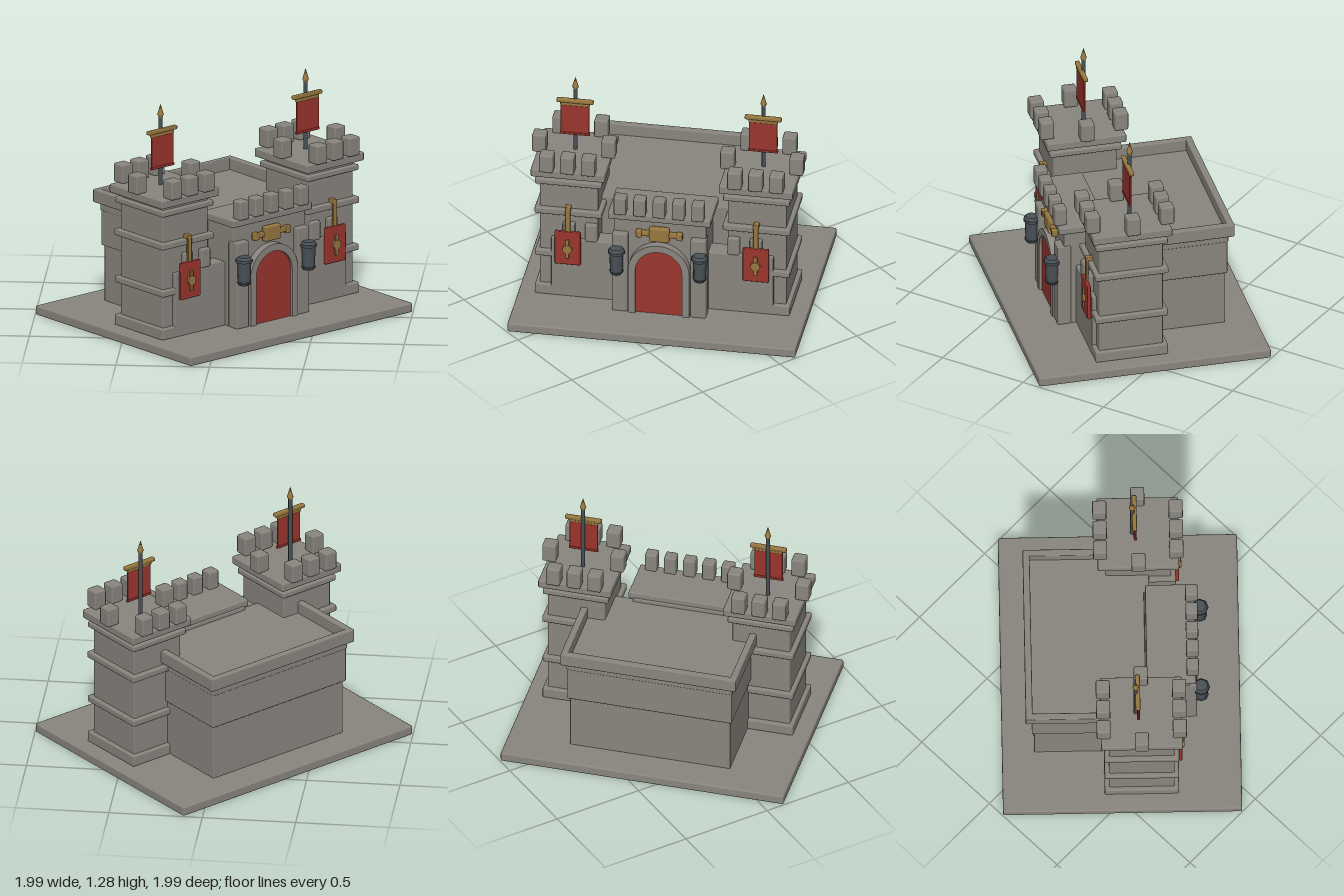
import * as THREE from 'three';
import { RoundedBoxGeometry } from 'three/addons/geometries/RoundedBoxGeometry.js';

const makeMat = (name, color) => {
  const m = new THREE.MeshStandardMaterial({ color });
  m.name = name;
  return m;
};

export function createModel() {
  const stone = makeMat('stone', 0x8a867f);
  const red = makeMat('red', 0x9c352e);
  const gold = makeMat('gold', 0x98783f);
  const iron = makeMat('iron', 0x4a5256);

  const root = new THREE.Group();
  root.name = 'castle';
  const castle = new THREE.Group();
  castle.name = 'castleBody';
  castle.rotation.y = Math.PI / 4; // the gate looks along the diagonal
  root.add(castle);

  const add = (parent, name, geo, mat, x = 0, y = 0, z = 0) => {
    const mesh = new THREE.Mesh(geo, mat);
    mesh.name = name;
    mesh.position.set(x, y, z);
    parent.add(mesh);
    return mesh;
  };
  // Bevelled block given by its extents
  const block = (parent, name, mat, x0, x1, y0, y1, z0, z1, r = 0.006) => {
    const w = x1 - x0, h = y1 - y0, d = z1 - z0;
    const geo = new RoundedBoxGeometry(w, h, d, 1, Math.min(r, w / 3, h / 3, d / 3));
    return add(parent, name, geo, mat, (x0 + x1) / 2, (y0 + y1) / 2, (z0 + z1) / 2);
  };
  const merlon = (parent, x, y, z, s = 0.075, h = 0.105) =>
    block(parent, 'merlon', stone, x - s / 2, x + s / 2, y, y + h, z - s / 2, z + s / 2, 0.009);
  const group = (name, parent = castle) => {
    const g = new THREE.Group();
    g.name = name;
    parent.add(g);
    return g;
  };

  // Ground slab
  block(castle, 'baseSlab', stone, -0.778, 0.778, 0, 0.053, -0.636, 0.636, 0.01);

  // Keep behind the towers, with a parapet on three sides
  const keep = group('keep');
  block(keep, 'keepLowerWall', stone, -0.44, 0.44, 0.05, 0.365, -0.465, 0.16);
  block(keep, 'keepUpperWall', stone, -0.452, 0.452, 0.36, 0.56, -0.477, 0.16);
  block(keep, 'keepRoof', stone, -0.455, 0.455, 0.552, 0.605, -0.482, 0.16);
  block(keep, 'backParapet', stone, -0.482, 0.482, 0.597, 0.67, -0.51, -0.473);
  for (const s of [-1, 1]) {
    const x = s * 0.4635;
    block(keep, 'sideParapet', stone, x - 0.0185, x + 0.0185, 0.597, 0.67, -0.505, -0.06);
  }

  // Corner towers
  for (const s of [-1, 1]) {
    const tower = group(s > 0 ? 'leftTower' : 'rightTower');
    tower.position.set(s * 0.508, 0, 0.104);
    const tier = (name, hx, hz, y0, y1) => block(tower, name, stone, -hx, hx, y0, y1, -hz, hz, 0.008);
    tier('towerWall', 0.158, 0.175, 0.05, 0.8);
    tier('plinth', 0.18, 0.198, 0.05, 0.112);
    tier('lowerBand', 0.18, 0.198, 0.287, 0.324);
    tier('middleBand', 0.182, 0.2, 0.549, 0.586);
    tier('upperBand', 0.18, 0.197, 0.731, 0.764);
    tier('platform', 0.2, 0.217, 0.785, 0.833);
    for (const dx of [-0.113, 0, 0.113]) {
      for (const dz of [-0.203, 0.203]) merlon(tower, dx, 0.83, dz);
    }
    for (const dx of [-0.187, 0.187]) merlon(tower, dx, 0.83, 0);

    // Flag on a pole
    const flag = group('flag', tower);
    flag.position.z = -0.03;
    add(flag, 'flagPole', new THREE.CylinderGeometry(0.011, 0.011, 0.4, 8), iron, 0, 1.025, 0);
    add(flag, 'poleTip', new THREE.ConeGeometry(0.018, 0.062, 8), gold, 0, 1.25, 0);
    add(flag, 'poleCollar', new THREE.CylinderGeometry(0.015, 0.012, 0.015, 8), gold, 0, 1.215, 0);
    block(flag, 'flagBar', gold, -0.1, 0.1, 1.125, 1.147, -0.002, 0.024);
    block(flag, 'flagBarRail', gold, -0.08, 0.08, 1.107, 1.128, 0.004, 0.022);
    block(flag, 'flagCloth', red, -0.077, 0.077, 0.938, 1.112, 0.01, 0.02, 0.003);
    block(flag, 'flagHem', red, -0.081, 0.081, 0.93, 0.945, 0.007, 0.023, 0.004);
  }

  // Front wings between the gatehouse and the towers
  for (const s of [-1, 1]) {
    const wing = group(s > 0 ? 'leftWing' : 'rightWing');
    wing.position.x = s * 0.41;
    block(wing, 'wingWall', stone, -0.19, 0.19, 0.05, 0.405, 0.2, 0.302);
    for (const x of [0.385, 0.505]) merlon(wing, s * (x - 0.41), 0.4, 0.272, 0.066);

    // Hanging shield with an emblem and a hook
    const shield = group('shield', wing);
    shield.position.set(s * 0.098, 0, 0.3);
    block(shield, 'shieldPanel', red, -0.07, 0.07, 0.258, 0.46, 0.002, 0.022, 0.005);
    block(shield, 'emblemBar', gold, -0.01, 0.01, 0.3, 0.415, 0.02, 0.032, 0.003);
    const disc = add(shield, 'emblemDisc', new THREE.CylinderGeometry(0.027, 0.027, 0.014, 8), gold, 0, 0.358, 0.028);
    disc.rotation.x = Math.PI / 2;
    block(shield, 'hookStrap', gold, -0.014, 0.014, 0.45, 0.595, 0.002, 0.016, 0.004);
    block(shield, 'hookTop', gold, -0.016, 0.016, 0.583, 0.606, -0.025, 0.016, 0.005);
  }

  // Gatehouse
  const gate = group('gatehouse');
  block(gate, 'gatehouseWall', stone, -0.25, 0.25, 0.05, 0.625, 0.13, 0.37);
  block(gate, 'gatehousePlatform', stone, -0.277, 0.277, 0.615, 0.657, 0.138, 0.4, 0.008);
  for (let i = -2; i <= 2; i++) merlon(gate, i * 0.105, 0.653, 0.383, 0.066);

  // Round-headed outline for the doorway
  const arch = (PathType, r) => {
    const p = new PathType();
    p.moveTo(-r, 0.053);
    p.lineTo(r, 0.053);
    p.lineTo(r, 0.315);
    p.absarc(0, 0.315, r, 0, Math.PI, false);
    p.lineTo(-r, 0.053);
    return p;
  };
  const extrude = (shape, depth) =>
    new THREE.ExtrudeGeometry(shape, { depth, bevelEnabled: false, curveSegments: 16 });
  const frame = arch(THREE.Shape, 0.165);
  frame.holes.push(arch(THREE.Path, 0.126));
  add(gate, 'archFrame', extrude(frame, 0.05), stone, 0, 0, 0.362);
  add(gate, 'door', extrude(arch(THREE.Shape, 0.127), 0.035), red, 0, 0, 0.362);

  // Gilded crest above the arch
  const crest = group('crest', gate);
  crest.position.z = 0.37;
  block(crest, 'crestBlock', gold, -0.055, 0.055, 0.497, 0.582, 0, 0.036, 0.01);
  block(crest, 'crestBar', gold, -0.12, 0.12, 0.525, 0.553, 0, 0.028, 0.006);
  for (const s of [-1, 1]) {
    block(crest, 'crestEnd', gold, s * 0.11 - 0.016, s * 0.11 + 0.016, 0.517, 0.558, 0, 0.034, 0.006);
  }

  // Pillars and lamps beside the door
  for (const s of [-1, 1]) {
    block(gate, 'pillar', stone, s * 0.212 - 0.042, s * 0.212 + 0.042, 0.05, 0.53, 0.33, 0.405, 0.008);
    const lamp = group('lamp', gate);
    lamp.position.set(s * 0.225, 0, 0.428);
    const ring = (name, rt, rb, y0, y1) =>
      add(lamp, name, new THREE.CylinderGeometry(rt, rb, y1 - y0, 8), iron, 0, (y0 + y1) / 2, 0);
    ring('lampBody', 0.038, 0.034, 0.315, 0.43);
    ring('lampCap', 0.046, 0.046, 0.427, 0.442);
    ring('lampCapTop', 0.034, 0.044, 0.442, 0.456);
    ring('lampFoot', 0.04, 0.03, 0.3, 0.318);
  }

  return root;
}
